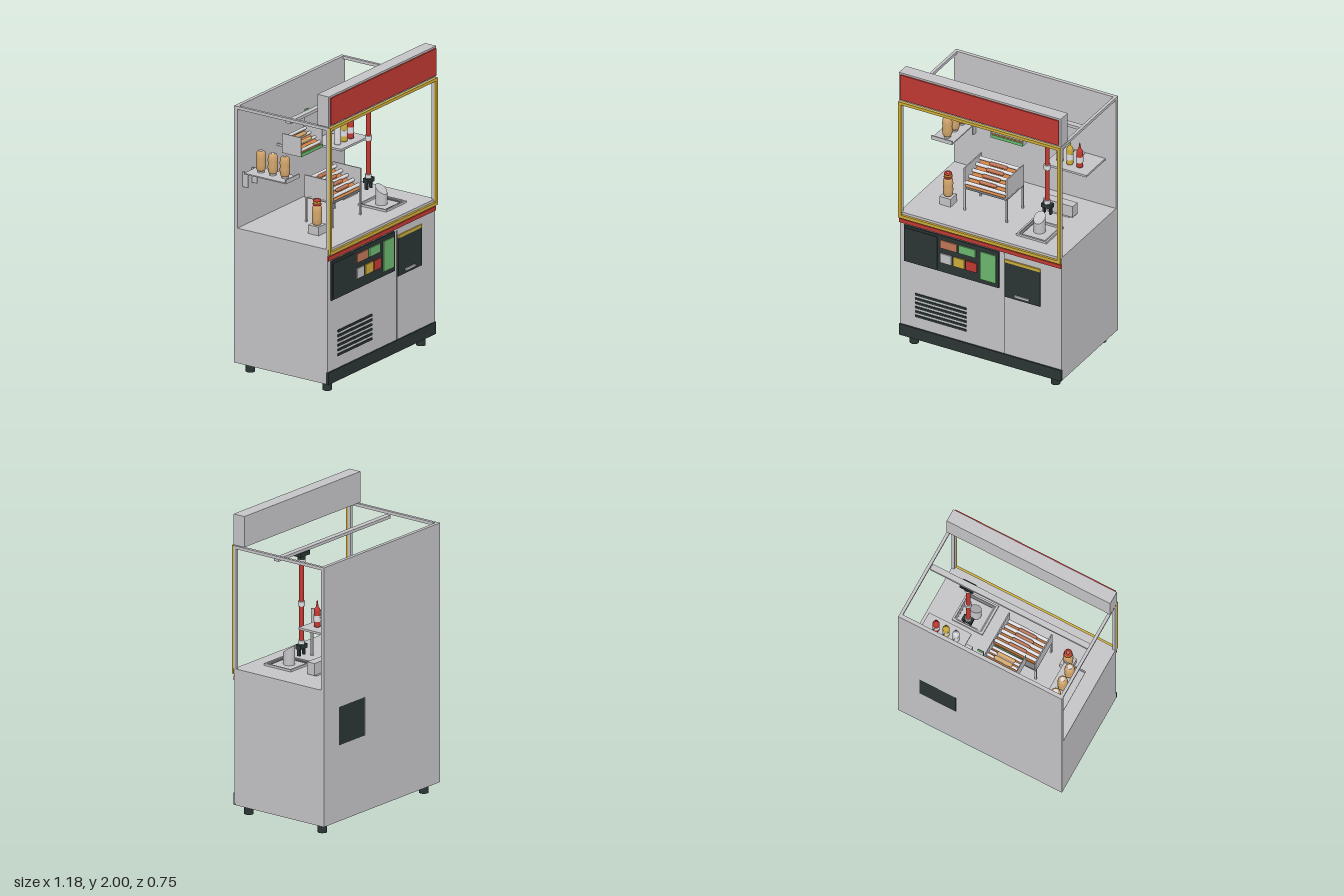
import * as THREE from 'three';

const mat = (name, color) => {
  const m = new THREE.MeshStandardMaterial({ color });
  m.name = name;
  return m;
};

export function createModel() {
  const root = new THREE.Group();
  root.name = 'snackKiosk';
  const grey = mat('steelGrey', 0xc5c5c8), dark = mat('charcoal', 0x2b3535), red = mat('red', 0xc23a32),
    yellow = mat('yellow', 0xcfae3c), green = mat('green', 0x6cb96f), tan = mat('bunTan', 0xd3a66c),
    brown = mat('sausage', 0xc0785a), mid = mat('midGrey', 0x7c7c7e), orange = mat('heaterOrange', 0xd08043),
    white = mat('paleGrey', 0xdedee2);

  const add = (name, geo, m, x = 0, y = 0, z = 0) => {
    const mesh = new THREE.Mesh(geo, m);
    mesh.name = name;
    mesh.position.set(x, y, z);
    root.add(mesh);
    return mesh;
  };
  // box from its lower and upper limits on each axis
  const box = (name, m, x0, x1, y0, y1, z0, z1) =>
    add(name, new THREE.BoxGeometry(x1 - x0, y1 - y0, z1 - z0), m, (x0 + x1) / 2, (y0 + y1) / 2, (z0 + z1) / 2);
  // upright cylinder between two heights
  const cyl = (name, m, x, z, y0, y1, r, rTop = r, n = 24) =>
    add(name, new THREE.CylinderGeometry(rTop, r, y1 - y0, n), m, x, (y0 + y1) / 2, z);
  // cylinder or capsule lying along x
  const roller = (name, m, x0, x1, y, z, r) => {
    const c = add(name, new THREE.CylinderGeometry(r, r, x1 - x0, 16), m, (x0 + x1) / 2, y, z);
    c.rotation.z = Math.PI / 2;
  };
  const lyingCapsule = (name, m, x0, x1, y, z, r) => {
    const c = add(name, new THREE.CapsuleGeometry(r, x1 - x0 - 2 * r, 6, 16), m, (x0 + x1) / 2, y, z);
    c.rotation.z = Math.PI / 2;
  };
  // upright rectangular or flat ring made of four bars
  const W = 0.588, Z = 0.373;

  // lower cabinet, leaving a through opening for the hatch
  box('mainCabinet', grey, -W, 0.172, 0.065, 0.93, -Z, 0.35);
  box('hatchColumn', grey, 0.435, W, 0.065, 0.93, -Z, 0.35);
  box('cabinetBelowHatch', grey, 0.174, 0.435, 0.065, 0.57, -Z, 0.35);
  box('cabinetAboveHatch', grey, 0.174, 0.435, 0.825, 0.93, -Z, 0.35);
  box('panelSeam', mid, 0.17, 0.176, 0.145, 0.88, 0.345, 0.351);
  box('plinth', dark, -W, W, 0.065, 0.145, 0.34, 0.36);
  for (const x of [-0.513, 0.513]) for (const z of [-0.3, 0.295]) cyl('foot', dark, x, z, 0, 0.07, 0.03);
  box('redTrim', red, -W, W, 0.895, 0.922, 0.345, 0.36);

  // serving hatch
  box('hatch', dark, 0.176, 0.435, 0.57, 0.825, -Z, 0.358);
  box('hatchTrim', yellow, 0.18, 0.435, 0.825, 0.845, 0.345, 0.36);
  box('hatchHandle', grey, 0.25, 0.355, 0.588, 0.603, 0.35, 0.367);

  // control panel and buttons
  box('controlPanel', dark, -0.553, 0.135, 0.62, 0.885, 0.34, 0.36);
  box('screen', dark, -0.543, -0.31, 0.632, 0.868, 0.355, 0.364);
  for (const [m, x0, x1, y0, y1] of [
    [brown, -0.285, -0.165, 0.797, 0.855], [green, -0.15, -0.03, 0.797, 0.855],
    [grey, -0.285, -0.205, 0.69, 0.757], [yellow, -0.19, -0.11, 0.69, 0.757],
    [red, -0.1, -0.02, 0.69, 0.757], [green, 0.005, 0.118, 0.652, 0.855]
  ]) box('button', m, x0, x1, y0, y1, 0.355, 0.368);
  for (let i = 0; i < 6; i++) box('ventSlot', dark, -0.475, -0.105, 0.226 + i * 0.0317, 0.241 + i * 0.0317, 0.345, 0.356);

  // display case
  box('deck', grey, -W, W, 0.93, 0.972, -Z, 0.355);
  box('backPanel', grey, -W, W, 0.93, 1.79, -Z, -0.348);
  for (const s of [-1, 1]) {
    const a = s < 0 ? -W : W - 0.02;
    box('frontPost', grey, a, a + 0.02, 0.97, 1.79, 0.338, 0.358);
    box('sideTopBar', grey, a, a + 0.02, 1.77, 1.79, -0.35, 0.35);
    box('yellowFrameSide', yellow, a, a + 0.02, 0.935, 1.79, 0.358, Z);
  }
  box('frontTopBar', grey, -W, W, 1.77, 1.79, 0.338, 0.358);
  box('yellowFrameTop', yellow, -W, W, 1.77, 1.79, 0.358, Z);
  box('yellowFrameBottom', yellow, -W, W, 0.935, 0.957, 0.358, Z);

  // header sign
  box('signBox', grey, -W, W, 1.795, 2, 0.272, 0.36);
  box('signFace', red, -0.575, 0.575, 1.807, 1.988, 0.36, 0.37);

  // overhead rail and picking arm
  const ax = 0.305, az = 0.035;
  box('rail', grey, -0.567, 0.567, 1.747, 1.767, 0.012, 0.05);
  box('carriage', dark, 0.258, 0.352, 1.72, 1.748, 0.005, 0.062);
  cyl('armMount', dark, ax, az, 1.695, 1.722, 0.026);
  cyl('armCollar', white, ax, az, 1.663, 1.697, 0.024, 0.026);
  cyl('armColumn', red, ax, az, 1.14, 1.67, 0.015);
  cyl('armClamp', white, ax, az, 1.383, 1.415, 0.023);
  cyl('armLowerCollar', white, ax, az, 1.13, 1.155, 0.02);
  box('gripper', dark, 0.272, 0.342, 1.1, 1.13, 0.015, 0.055);
  for (const x of [0.278, 0.325]) box('gripperFinger', dark, x, x + 0.012, 1.055, 1.1, 0.025, 0.045);

  // serving tray with a slant-cut holder
  box('trayBase', grey, 0.2, 0.42, 0.968, 0.975, 0.05, 0.245);
  for (const [x0, x1, z0, z1] of [[0.2, 0.212, 0.03, 0.248], [0.408, 0.42, 0.03, 0.248], [0.2, 0.42, 0.236, 0.248], [0.2, 0.42, 0.03, 0.042]])
    box('trayRim', grey, x0, x1, 0.97, 0.986, z0, z1);
  for (const [x0, x1, z0, z1] of [[0.212, 0.228, 0.042, 0.236], [0.392, 0.408, 0.042, 0.236], [0.228, 0.392, 0.22, 0.236]])
    box('trayChannel', mid, x0, x1, 0.973, 0.979, z0, z1);
  const holderGeo = new THREE.CylinderGeometry(0.038, 0.038, 0.1, 28);
  const p = holderGeo.attributes.position;
  for (let i = 0; i < p.count; i++) if (p.getY(i) > 0) p.setY(i, 0.05 - p.getZ(i) * 0.75);
  holderGeo.computeVertexNormals();
  add('holder', holderGeo, grey, ax, 1.025, 0.135);
  box('wrapperBox', grey, 0.2, 0.415, 0.985, 1.065, -0.157, -0.097);
  box('wrapperFoot', grey, 0.23, 0.385, 0.97, 0.986, -0.15, -0.105);

  // sauce shelf and bottles
  box('sauceShelf', grey, 0.205, 0.51, 1.305, 1.319, -0.35, -0.105);
  [[0.275, white], [0.346, yellow], [0.418, red]].forEach(([x, m]) => {
    const pts = [[0, 0], [0.021, 0], [0.022, 0.01], [0.022, 0.105], [0.018, 0.12], [0.008, 0.132], [0.006, 0.15], [0.002, 0.175], [0, 0.175]];
    add('sauceBottle', new THREE.LatheGeometry(pts.map(q => new THREE.Vector2(...q)), 24), m, x, 1.319, -0.183);
    cyl('bottleLabel', white, x, -0.183, 1.355, 1.395, 0.0228);
    box('bottleRod', grey, x - 0.002, x + 0.002, 1.38, 1.384, -0.25, -0.2);
  });

  // bun shelf with spare buns
  box('bunShelf', grey, -0.555, -0.405, 1.33, 1.338, -0.32, 0.005);
  box('bunShelfLip', grey, -0.555, -0.405, 1.33, 1.357, -0.003, 0.005);
  for (const x of [-0.53, -0.43]) {
    box('bunShelfBracket', grey, x - 0.004, x + 0.004, 1.235, 1.33, -0.345, -0.305);
    box('bunShelfArm', grey, x - 0.004, x + 0.004, 1.32, 1.335, -0.35, -0.3);
  }
  const bunPts = [[0, 0], [0.024, 0], [0.031, 0.012], [0.033, 0.045], [0.031, 0.065], [0.033, 0.09], [0.03, 0.118], [0.022, 0.13], [0.014, 0.132], [0, 0.132]]
    .map(q => new THREE.Vector2(...q));
  const bunGeo = new THREE.LatheGeometry(bunPts, 28);
  for (const z of [-0.245, -0.153, -0.06]) {
    add('bun', bunGeo, tan, -0.475, 1.35, z);
    cyl('bunHolder', grey, -0.475, z, 1.335, 1.352, 0.022);
    cyl('bunOpening', white, -0.475, z, 1.478, 1.484, 0.015);
  }

  // finished snack on a stand
  box('snackStand', grey, -0.41, -0.33, 0.97, 1.03, 0.075, 0.155);
  add('snackBun', bunGeo, tan, -0.37, 1.03, 0.115);
  add('snackSausage', new THREE.CapsuleGeometry(0.016, 0.04, 6, 16), brown, -0.37, 1.165, 0.115);
  const ring = (name, m, r, y) => { add(name, new THREE.TorusGeometry(r, 0.008, 8, 24), m, -0.37, y, 0.115).rotation.x = Math.PI / 2; };
  ring('ketchupLower', red, 0.021, 1.167);
  ring('mustard', yellow, 0.019, 1.18);
  ring('ketchupUpper', red, 0.018, 1.192);

  // sausage grill on legs
  box('grillBase', mid, -0.24, 0.073, 1.133, 1.15, -0.075, 0.145);
  for (const x of [-0.24, 0.065]) {
    box('grillSide', grey, x, x + 0.008, 1.14, 1.285, -0.075, 0.145);
    for (const z of [-0.07, 0.132]) box('grillLeg', grey, x - 0.001, x + 0.011, 0.97, 1.135, z, z + 0.012);
  }
  const grillBed = add('grillBed', new THREE.BoxGeometry(0.3, 0.008, 0.23), orange, -0.084, 1.19, 0.037);
  grillBed.rotation.x = 0.4;
  for (let i = 0; i < 5; i++) roller('grillRoller', white, -0.232, 0.065, 1.173 + i * 0.022, 0.13 - i * 0.045, 0.012);
  [0, 1, 2, 3].forEach(i => lyingCapsule('sausage', brown, -0.15, -0.02, 1.19 + i * 0.022, 0.107 - i * 0.045, 0.012));

  // wall-mounted bun warmer
  box('warmerBase', grey, -0.2, 0.035, 1.38, 1.39, -0.275, -0.135);
  box('warmerFront', green, -0.2, 0.035, 1.38, 1.402, -0.135, -0.127);
  for (const x of [-0.2, 0.029]) box('warmerSide', grey, x, x + 0.006, 1.38, 1.51, -0.275, -0.13);
  const warmerBed = add('warmerBed', new THREE.BoxGeometry(0.222, 0.006, 0.145), orange, -0.083, 1.432, -0.203);
  warmerBed.rotation.x = 0.45;
  for (let i = 0; i < 4; i++) roller('warmerRoller', white, -0.194, 0.029, 1.415 + i * 0.023, -0.148 - i * 0.037, 0.01);
  for (const [y, z] of [[1.449, -0.18], [1.476, -0.22]]) lyingCapsule('warmBun', tan, -0.15, -0.02, y, z, 0.013);
  for (const x of [-0.15, 0.005]) box('warmerBracket', grey, x - 0.004, x + 0.004, 1.4, 1.415, -0.35, -0.27);
  box('flagPole', mid, 0.031, 0.034, 1.5, 1.605, -0.267, -0.264);
  box('flag', green, 0.034, 0.073, 1.573, 1.605, -0.268, -0.263);

  return root;
}
